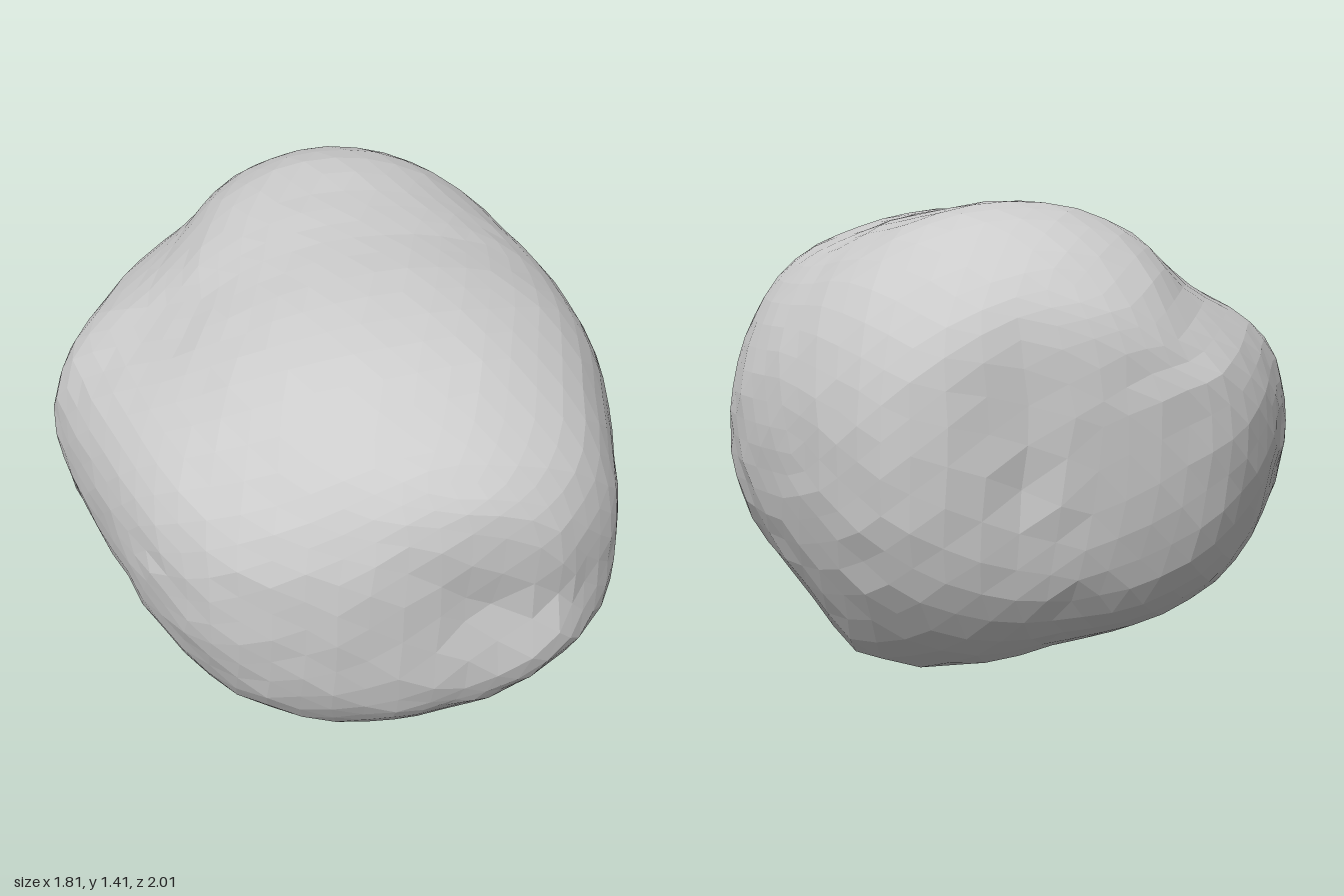
import * as THREE from 'three';

// Outline radius around the boulder's long axis, every 22.5 degrees from +x towards +y
const REAR = [1, 1.015, 1.04, 1.035, 1, 0.945, 0.885, 0.98, 1, 1, 1.02, 1.02, 0.97, 1.04, 1.06, 1.025];
const FRONT = [1, 1.025, 1.075, 1.04, 1, 0.98, 0.965, 1.005, 1, 1.02, 1.07, 1.05, 0.98, 0.99, 1.01, 1.02];

// Cross-sections from front to back: z, xMin, xMax, yMin, yMax
const SECTIONS = [
  [0.99, 0.15, 0.15, 0.7, 0.7],
  [0.985, -0.1, 0.42, 0.4, 0.97],
  [0.925, -0.32, 0.55, 0.25, 1.1],
  [0.79, -0.55, 0.69, 0.12, 1.21],
  [0.56, -0.71, 0.775, 0.05, 1.325],
  [0.29, -0.805, 0.86, 0.03, 1.38],
  [0, -0.875, 0.9, 0.01, 1.395],
  [-0.25, -0.9, 0.88, 0.005, 1.415],
  [-0.53, -0.75, 0.8, 0.02, 1.425],
  [-0.77, -0.59, 0.69, 0.13, 1.345],
  [-0.93, -0.42, 0.54, 0.34, 1.2],
  [-0.985, -0.23, 0.28, 0.6, 1.07],
  [-1, 0, 0, 0.88, 0.88],
];

// Local lumps and hollows: centre, reach per axis, push
const DENTS = [
  { at: [0.36, 0.49, 0.93], reach: [0.28, 0.13, 0.3], push: [0.01, 0, 0.03] },    // front ledge
  { at: [0.32, 0.66, 0.97], reach: [0.28, 0.11, 0.3], push: [0, 0, -0.028] },     // hollow above it
  { at: [0.22, 0.8, -0.97], reach: [0.1, 0.35, 0.3], push: [0, 0, 0.028] },       // rear groove
  { at: [0.52, 0.08, -0.43], reach: [0.2, 0.15, 0.22], push: [0.06, -0.03, 0] },  // foot
  { at: [-0.25, 0.04, -0.6], reach: [0.38, 0.22, 0.3], push: [0.01, 0.07, 0.02] }, // hollow behind the base
  { at: [0.66, 0.2, 0.17], reach: [0.22, 0.2, 0.27], push: [-0.05, 0.05, 0] },    // undercut
  { at: [-0.42, 1.22, -0.3], reach: [0.2, 0.2, 0.4], push: [0.01, -0.02, 0] },    // saddle on top
];

// Smooth interpolation between four neighbouring values
function spline(a, b, c, d, t) {
  return b + 0.5 * t * (c - a + t * (2 * a - 5 * b + 4 * c - d + t * (3 * (b - c) + d - a)));
}

function outlineAt(outline, angle) {
  const n = outline.length;
  const f = ((angle / (2 * Math.PI)) * n + n) % n;
  const i = Math.floor(f);
  const v = (k) => outline[(i + k + n) % n];
  return spline(v(-1), v(0), v(1), v(2), f - i);
}

function sectionAt(polar) {
  const last = SECTIONS.length - 1;
  const f = (polar / Math.PI) * last;
  const i = Math.min(Math.floor(f), last - 1);
  const row = (k) => SECTIONS[THREE.MathUtils.clamp(i + k, 0, last)];
  return SECTIONS[0].map((_, c) => spline(row(-1)[c], row(0)[c], row(1)[c], row(2)[c], f - i));
}

// Maps a point of the unit sphere onto the boulder
function shape(p) {
  const u = p.clone().normalize();
  const [z, x0, x1, y0, y1] = sectionAt(Math.acos(THREE.MathUtils.clamp(u.z, -1, 1)));
  const angle = Math.atan2(u.y, u.x);
  const front = THREE.MathUtils.smoothstep(u.z, -0.4, 0.5);
  const r = THREE.MathUtils.lerp(outlineAt(REAR, angle), outlineAt(FRONT, angle), front);
  p.set(
    (x0 + x1) / 2 + ((x1 - x0) / 2) * r * Math.cos(angle),
    (y0 + y1) / 2 + ((y1 - y0) / 2) * r * Math.sin(angle),
    z
  );

  const base = p.toArray();
  for (const { at, reach, push } of DENTS) {
    const d = base.reduce((s, v, k) => s + ((v - at[k]) / reach[k]) ** 2, 0);
    p.addScaledVector(new THREE.Vector3(...push), Math.exp(-d));
  }

  // Fine unevenness, stronger on the lower half
  const rough = Math.sin(u.x * 13 + u.y * 9) * Math.sin(u.y * 15 - u.z * 8) * Math.sin(u.z * 14 + u.x * 7 + 1)
    + 0.5 * Math.sin(u.x * 37 + u.z * 29) * Math.sin(u.y * 41 - u.x * 23);
  return p.addScaledVector(u, rough * THREE.MathUtils.lerp(0.008, 0.004, THREE.MathUtils.smoothstep(u.y, -0.2, 0.4)));
}

export function createModel() {
  const geometry = new THREE.IcosahedronGeometry(1, 10);
  const pos = geometry.attributes.position;
  const p = new THREE.Vector3();
  for (let i = 0; i < pos.count; i++) {
    shape(p.fromBufferAttribute(pos, i));
    pos.setXYZ(i, p.x, p.y, p.z);
  }

  // Centre and set on the ground
  geometry.computeBoundingBox();
  const box = geometry.boundingBox;
  const mid = box.getCenter(new THREE.Vector3());
  geometry.translate(-mid.x, -box.min.y, -mid.z);
  geometry.computeVertexNormals();

  const boulder = new THREE.Mesh(
    geometry,
    new THREE.MeshStandardMaterial({ color: 0xcccccc, flatShading: true })
  );
  boulder.name = 'boulder';
  const group = new THREE.Group();
  group.name = 'rock';
  group.add(boulder);
  return group;
}
